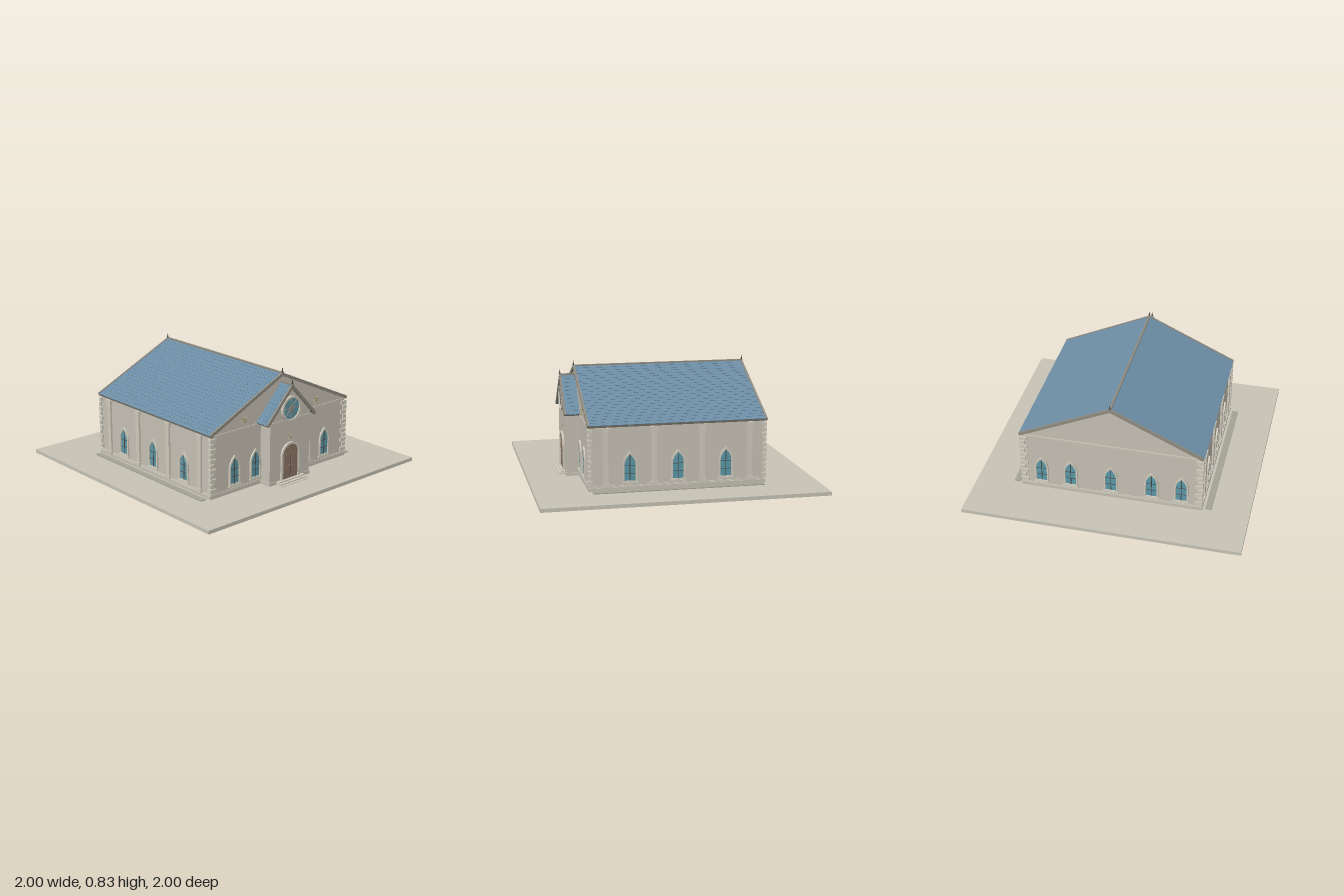
import * as THREE from 'three';
import { mergeGeometries } from 'three/addons/utils/BufferGeometryUtils.js';

const mat = (color) => new THREE.MeshStandardMaterial({ color });
const M = {
  ground: mat(0xc6c3b5), path: mat(0xa3a394), wall: mat(0xc6c0b4), trim: mat(0xcfcabc),
  roof: mat(0x6d8ea6), edge: mat(0x8f8b80), door: mat(0x8d7466), glass: mat(0x5c98a8), lead: mat(0x4b4b46), gold: mat(0xb5ad86),
};

function add(parent, name, geo, material, x = 0, y = 0, z = 0) {
  const m = new THREE.Mesh(geo, material);
  m.name = name;
  m.position.set(x, y, z);
  parent.add(m);
  return m;
}
const box = (p, name, w, h, d, material, x, y, z) => add(p, name, new THREE.BoxGeometry(w, h, d), material, x, y, z);
const extrude = (shape, depth) => new THREE.ExtrudeGeometry(shape, { depth, bevelEnabled: false, curveSegments: 12 });

// Arched outline standing on y = 0, pointed or round
function arch(w, spring, top, pointed, base = 0) {
  const s = new THREE.Shape();
  s.moveTo(-w, base);
  s.lineTo(w, base);
  s.lineTo(w, spring);
  if (pointed) {
    s.quadraticCurveTo(w, spring + (top - spring) * 0.55, 0, top);
    s.quadraticCurveTo(-w, spring + (top - spring) * 0.55, -w, spring);
  } else s.absarc(0, spring, w, 0, Math.PI, false);
  s.lineTo(-w, base);
  return s;
}

// Pentagonal gabled block, extruded along z
function gableBlock(w, eave, top, z0, z1) {
  const s = new THREE.Shape([[-w, 0.02], [w, 0.02], [w, eave], [0, top], [-w, eave]].map((p) => new THREE.Vector2(...p)));
  return extrude(s, z1 - z0).translate(0, 0, z0);
}

// Lancet window facing +z
function makeWindow() {
  const g = new THREE.Group();
  g.name = 'lancetWindow';
  const frame = arch(0.05, 0.12, 0.215, true);
  frame.holes.push(arch(0.039, 0.12, 0.195, true, 0.008));
  add(g, 'windowFrame', extrude(frame, 0.012), M.trim);
  add(g, 'windowGlass', extrude(arch(0.041, 0.12, 0.198, true), 0.003), M.glass);
  box(g, 'mullion', 0.005, 0.19, 0.004, M.lead, 0, 0.1, 0.004);
  for (const y of [0.06, 0.115]) box(g, 'glazingBar', 0.078, 0.003, 0.004, M.lead, 0, y, 0.004);
  box(g, 'windowSill', 0.112, 0.01, 0.016, M.trim, 0, -0.005, 0.008);
  return g;
}

// Eight-pointed ornament
function makeStar(r) {
  const pts = [];
  for (let i = 0; i < 16; i++) {
    const a = (i * Math.PI) / 8, k = i % 2 ? r * 0.38 : r;
    pts.push(new THREE.Vector2(Math.sin(a) * k, Math.cos(a) * k));
  }
  return extrude(new THREE.Shape(pts), 0.006);
}

// Two tiled slopes with rake boards, ridge cap and finials, centred on z
function makeRoof(name, halfW, eave, ridge, z0, z1, courses, cols, finialEnds) {
  const g = new THREE.Group();
  g.name = name;
  const depth = z1 - z0, zc = (z0 + z1) / 2;
  g.position.set(0, ridge, zc);
  const len = Math.hypot(halfW, ridge - eave), slope = Math.atan2(ridge - eave, halfW);
  const step = len / courses, tw = (depth - 0.02) / cols, tiles = [];
  for (let i = 0; i < courses; i++) {
    const shift = i % 2 ? tw / 2 : 0;
    for (let j = 0; j <= cols; j++) {
      const a = Math.max(0, j * tw - shift), b = Math.min(cols * tw, (j + 1) * tw - shift);
      if (b - a < 0.001) continue;
      const t = new THREE.BoxGeometry(step * 1.05, 0.004, b - a - 0.0015);
      t.rotateZ(0.05);
      t.translate((i + 0.5) * step, -0.002, (a + b) / 2 - (cols * tw) / 2);
      tiles.push(t);
    }
  }
  const tileGeo = mergeGeometries(tiles);
  for (const turn of [0, Math.PI]) {
    const side = new THREE.Group();
    side.name = 'roofSide';
    side.rotation.y = turn;
    const s = new THREE.Group();
    s.name = 'roofSlope';
    s.rotation.z = -slope;
    side.add(s);
    box(s, 'roofDeck', len, 0.012, depth - 0.01, M.roof, len / 2, -0.01, 0);
    add(s, 'roofTiles', tileGeo, M.roof);
    for (const e of [-1, 1]) box(s, 'rakeBoard', len, 0.022, 0.014, M.edge, len / 2, -0.007, e * (depth / 2 - 0.007));
    box(s, 'eaveTrim', 0.008, 0.016, depth, M.edge, len - 0.003, -0.01, 0);
    g.add(side);
  }
  box(g, 'ridgeCap', 0.016, 0.012, depth, M.edge, 0, 0, 0);
  for (const e of finialEnds) {
    const z = e * (depth / 2 - 0.005);
    add(g, 'finialSpike', new THREE.CylinderGeometry(0.002, 0.005, 0.04, 8), M.lead, 0, 0.015, z);
    add(g, 'finialKnob', new THREE.SphereGeometry(0.007, 10, 8), M.lead, 0, 0.012, z);
  }
  return g;
}

// Rose window facing +z
function makeRose() {
  const g = new THREE.Group();
  g.name = 'roseWindow';
  add(g, 'roseGlass', new THREE.CylinderGeometry(0.08, 0.08, 0.006, 40).rotateX(Math.PI / 2), M.glass, 0, 0, 0.002);
  const ring = new THREE.Shape().absarc(0, 0, 0.092, 0, Math.PI * 2);
  ring.holes.push(new THREE.Path().absarc(0, 0, 0.077, 0, Math.PI * 2));
  add(g, 'roseRim', new THREE.ExtrudeGeometry(ring, { depth: 0.016, bevelEnabled: false, curveSegments: 32 }), M.trim);
  for (let i = 0; i < 4; i++) box(g, 'roseSpoke', 0.006, 0.156, 0.006, M.edge, 0, 0, 0.007).rotation.z = (i * Math.PI) / 4;
  add(g, 'roseHub', new THREE.CylinderGeometry(0.016, 0.016, 0.01, 20).rotateX(Math.PI / 2), M.edge, 0, 0, 0.008);
  return g;
}

// Arched double door facing +z
function makeDoor() {
  const g = new THREE.Group();
  g.name = 'entrance';
  const surround = arch(0.09, 0.18, 0.27, false);
  surround.holes.push(arch(0.074, 0.18, 0.254, false, 0.0005));
  add(g, 'doorSurround', extrude(surround, 0.014), M.trim);
  add(g, 'doorLeaves', extrude(arch(0.075, 0.18, 0.255, false), 0.005), M.door);
  box(g, 'doorGap', 0.004, 0.19, 0.004, M.lead, 0, 0.095, 0.005);
  for (const s of [-1, 1]) {
    for (const [y, h] of [[0.055, 0.07], [0.14, 0.07]]) box(g, 'doorPanel', 0.045, h, 0.004, M.door, s * 0.037, y, 0.006);
    add(g, 'doorKnob', new THREE.SphereGeometry(0.004, 8, 6), M.gold, s * 0.009, 0.1, 0.01);
  }
  box(g, 'transom', 0.148, 0.006, 0.005, M.door, 0, 0.19, 0.006);
  return g;
}

export function createModel() {
  const root = new THREE.Group();
  root.name = 'chapel';

  // Ground and paths
  box(root, 'ground', 2, 0.026, 2, M.ground, 0, 0.013, 0);
  for (const s of [-1, 1]) box(root, 'sidePath', 0.046, 0.006, 1.21, M.path, s * 0.705, 0.029, 0);
  box(root, 'entrancePath', 0.27, 0.004, 0.08, M.ground, 0, 0.027, 0.745);

  // Main hall
  add(root, 'hallWalls', gableBlock(0.65, 0.475, 0.776, -0.62, 0.62), M.wall);
  box(root, 'plinth', 1.326, 0.026, 1.254, M.wall, 0, 0.037, 0);
  box(root, 'plinthMoulding', 1.312, 0.01, 1.248, M.trim, 0, 0.055, 0);
  box(root, 'eaveBand', 1.312, 0.01, 1.248, M.trim, 0, 0.473, 0);
  root.add(makeRoof('mainRoof', 0.665, 0.487, 0.795, -0.636, 0.634, 22, 42, [-1, 1]));

  // Corner quoins, alternating long and short
  for (const sx of [-1, 1]) for (const sz of [-1, 1]) for (let i = 0; i < 11; i++) {
    const w = i % 2 ? 0.034 : 0.054, d = i % 2 ? 0.02 : 0.03;
    box(root, 'quoin', w, 0.029, d, M.trim, sx * (0.664 - w / 2), 0.083 + i * 0.036, sz * (0.631 - d / 2));
  }

  // Side pilasters with bases and capitals
  for (const s of [-1, 1]) for (const z of [-0.51, -0.17, 0.17, 0.51]) {
    box(root, 'pilasterShaft', 0.024, 0.42, 0.036, M.trim, s * 0.652, 0.26, z);
    box(root, 'pilasterBase', 0.034, 0.025, 0.05, M.trim, s * 0.652, 0.064, z);
    box(root, 'pilasterCapital', 0.034, 0.022, 0.054, M.trim, s * 0.652, 0.457, z);
    box(root, 'pilasterNeck', 0.029, 0.012, 0.044, M.trim, s * 0.652, 0.438, z);
  }

  // Windows: x, z, turn
  const spots = [];
  for (const x of [-0.44, -0.245, 0.245, 0.44]) spots.push([x, 0.62, 0]);
  for (const x of [-0.51, -0.295, 0, 0.295, 0.51]) spots.push([x, -0.62, Math.PI]);
  for (const s of [-1, 1]) for (const z of [-0.34, 0, 0.34]) spots.push([s * 0.65, z, (s * Math.PI) / 2]);
  for (const [x, z, turn] of spots) {
    const w = makeWindow();
    w.position.set(x, 0.082, z);
    w.rotation.y = turn;
    root.add(w);
  }

  // Porch
  add(root, 'porchWalls', gableBlock(0.192, 0.515, 0.715, 0.6, 0.715), M.wall);
  for (const s of [-1, 1]) box(root, 'porchPlinth', 0.065, 0.024, 0.1, M.wall, s * 0.165, 0.038, 0.67);
  box(root, 'porchBand', 0.392, 0.008, 0.1, M.trim, 0, 0.482, 0.668);
  root.add(makeRoof('porchRoof', 0.235, 0.484, 0.733, 0.6, 0.734, 10, 5, [1]));
  const rose = makeRose();
  rose.position.set(0, 0.56, 0.715);
  const door = makeDoor();
  door.position.set(0, 0.045, 0.715);
  root.add(rose, door);

  // Entrance steps
  box(root, 'lowerStep', 0.264, 0.01, 0.055, M.trim, 0, 0.032, 0.735);
  box(root, 'upperStep', 0.25, 0.01, 0.035, M.trim, 0, 0.041, 0.725);

  // Star ornaments
  for (const s of [-1, 1]) add(root, 'gableStar', makeStar(0.03), M.gold, s * 0.35, 0.526, 0.619);
  add(root, 'porchStar', makeStar(0.022), M.gold, 0, 0.35, 0.714);
  return root;
}
